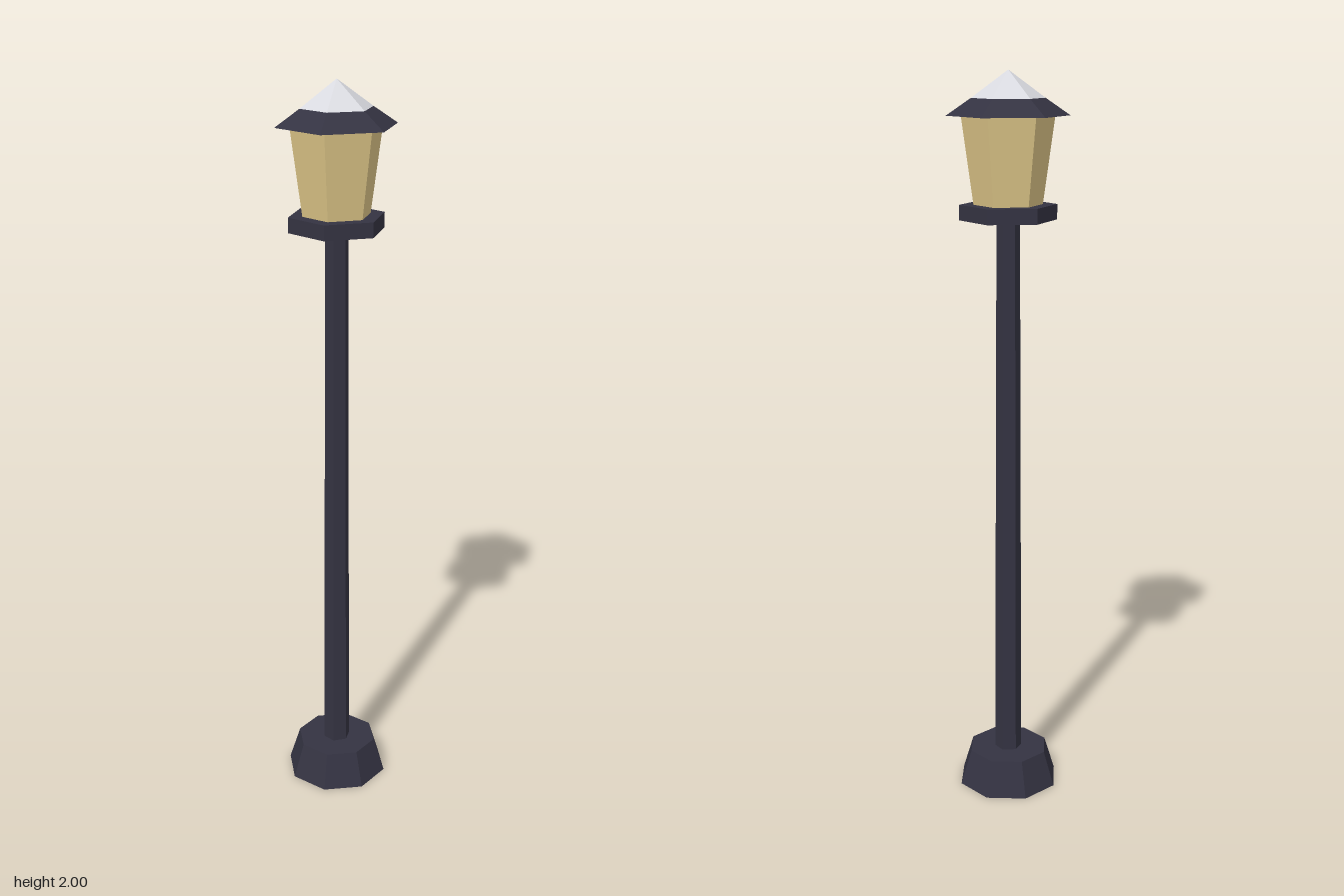
import * as THREE from 'three';

const flat = (name, color) => {
  const m = new THREE.MeshStandardMaterial({ color });
  m.name = name;
  m.flatShading = true;
  return m;
};

export function createModel() {
  const group = new THREE.Group();
  group.name = 'streetLamp';

  const iron = flat('darkIron', 0x343342);
  const glass = flat('warmGlass', 0xdcc587);
  const silver = flat('paleMetal', 0xd9dae0);

  // Tapered prism standing between two heights, with a corner on the z axis
  const prism = (name, sides, rBottom, rTop, y0, y1, material) => {
    const geometry = new THREE.CylinderGeometry(rTop, rBottom, y1 - y0, sides);
    const mesh = new THREE.Mesh(geometry, material);
    mesh.name = name;
    mesh.position.y = (y0 + y1) / 2;
    group.add(mesh);
  };

  // Octagonal foot and slender hexagonal post
  prism('base', 8, 0.144, 0.113, 0, 0.1, iron);
  prism('post', 6, 0.038, 0.031, 0.1, 1.62, iron);

  // Lantern: tray, flared glass, sloping eaves and pointed cap
  prism('lanternTray', 6, 0.129, 0.129, 1.62, 1.66, iron);
  prism('lanternGlass', 6, 0.091, 0.122, 1.66, 1.886, glass);
  prism('roofEaves', 6, 0.161, 0.096, 1.886, 1.93, iron);
  prism('roofCap', 6, 0.096, 0, 1.93, 2, silver);

  return group;
}
